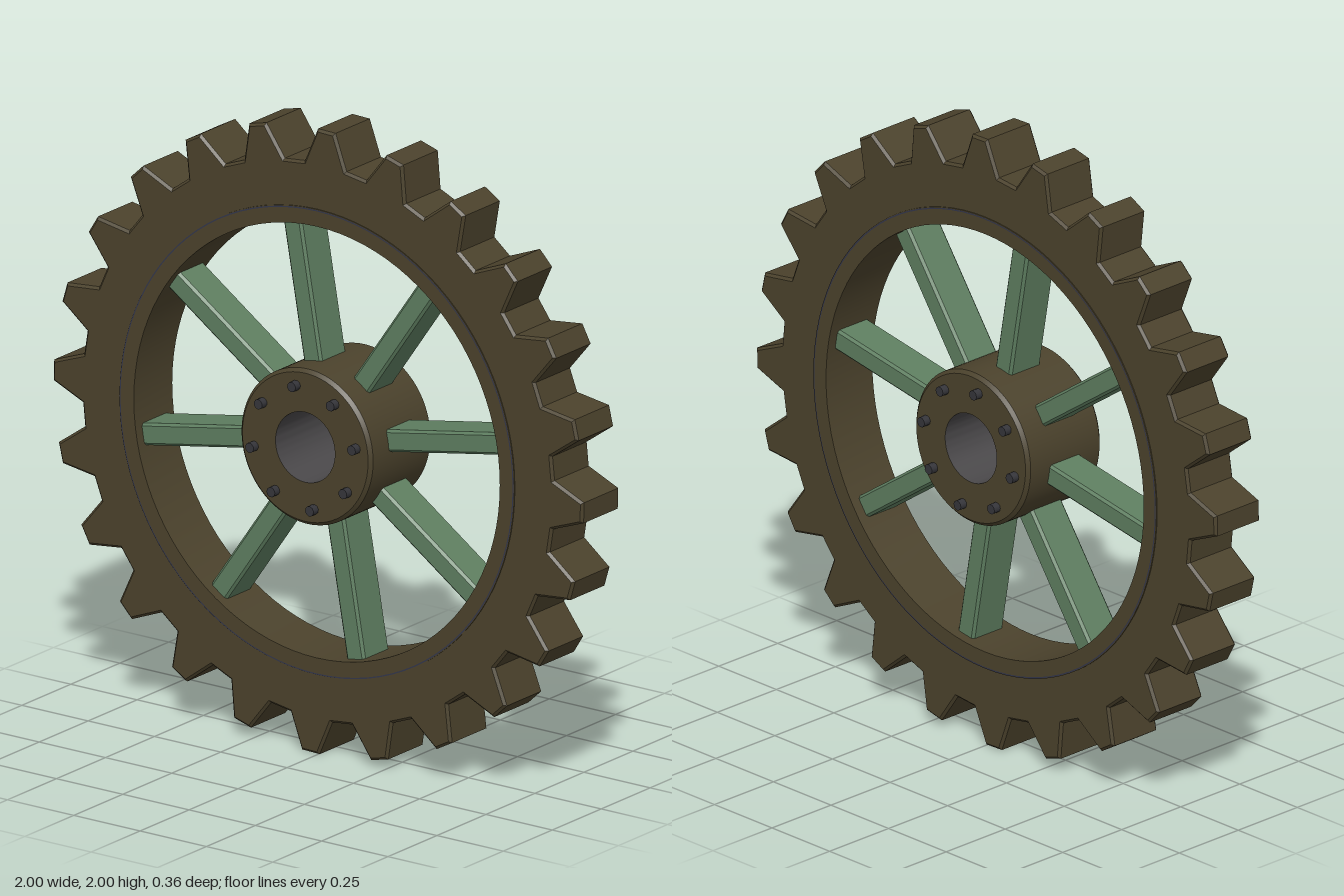
import * as THREE from 'three';
import { toCreasedNormals } from 'three/addons/utils/BufferGeometryUtils.js';

const mat = (name, color) => new THREE.MeshStandardMaterial({ name, color });

export function createModel() {
  const bronze = mat('dark bronze', 0x4b422c);
  const green = mat('spoke green', 0x5e7e60);
  const steel = mat('bolt steel', 0x35353a);
  const bore = mat('bore grey', 0x4a484a);
  const navy = mat('seam navy', 0x33364a);

  const wheel = new THREE.Group();
  wheel.name = 'gearWheel';
  wheel.position.y = 1;

  const add = (name, geometry, material, parent = wheel) => {
    const mesh = new THREE.Mesh(geometry, material);
    mesh.name = name;
    parent.add(mesh);
    return mesh;
  };

  // Bevelled extrusion centred on z = 0, keeping the drawn outline
  const slab = (shape, depth, bevel, curveSegments = 12) => {
    const g = new THREE.ExtrudeGeometry(shape, {
      depth: depth - 2 * bevel, bevelThickness: bevel, bevelSize: bevel,
      bevelOffset: -bevel, bevelSegments: 1, curveSegments,
    });
    g.translate(0, 0, -depth / 2 + bevel);
    return toCreasedNormals(g, 0.3);
  };

  // Surface of revolution about z, from [radius, z] pairs
  const turned = (pairs) => {
    const g = new THREE.LatheGeometry(pairs.map(([r, z]) => new THREE.Vector2(r, z)), 96);
    g.rotateX(Math.PI / 2);
    return toCreasedNormals(g, 0.4);
  };

  // Toothed outer ring
  const teeth = 24, root = 0.89, tip = 1.0;
  const outline = [];
  for (let i = 0; i < teeth; i++) {
    const a = (i / teeth) * Math.PI * 2 - 0.03;
    for (const [r, half] of [[root, 0.088], [tip, 0.033], [tip, -0.033], [root, -0.088]]) {
      outline.push(new THREE.Vector2(r * Math.cos(a - half), r * Math.sin(a - half)));
    }
  }
  const gear = new THREE.Shape(outline);
  gear.holes.push(new THREE.Path().absarc(0, 0, 0.735, 0, Math.PI * 2, true));
  add('toothedRing', slab(gear, 0.19, 0.008, 64), bronze);

  // Inner rim hoop
  add('rim', turned([
    [0.745, -0.098], [0.745, 0.098], [0.69, 0.098], [0.69, -0.098], [0.745, -0.098],
  ]), bronze);

  // Hub barrel and bore lining
  add('hub', turned([
    [0.112, -0.157], [0.237, -0.157], [0.248, -0.146],
    [0.248, 0.146], [0.237, 0.157], [0.112, 0.157],
  ]), bronze);
  add('bore', turned([[0.112, 0.157], [0.112, -0.157]]), bore);

  // Fine seam line on both faces of the rim
  for (const side of [1, -1]) {
    const seam = add('rimSeam', new THREE.RingGeometry(0.739, 0.743, 96), navy);
    seam.position.z = side * 0.0995;
    if (side < 0) seam.rotation.y = Math.PI;
  }

  // Spokes with chamfered edges, each with a bolt on both hub faces
  const w = 0.035;
  const bar = new THREE.Shape([
    new THREE.Vector2(0.23, -w), new THREE.Vector2(0.7, -w),
    new THREE.Vector2(0.7, w), new THREE.Vector2(0.23, w),
  ]);
  const spokeGeometry = slab(bar, 0.13, 0.008);
  const boltGeometry = new THREE.CylinderGeometry(0.016, 0.016, 0.05, 10);
  boltGeometry.rotateX(Math.PI / 2);
  for (let i = 0; i < 8; i++) {
    const arm = new THREE.Group();
    arm.name = 'spokeArm';
    arm.rotation.z = (i * Math.PI) / 4 + THREE.MathUtils.degToRad(10);
    wheel.add(arm);
    add('spoke', spokeGeometry, green, arm);
    for (const side of [1, -1]) {
      add('hubBolt', boltGeometry, steel, arm).position.set(0.195, 0, side * 0.157);
    }
  }

  const model = new THREE.Group();
  model.name = 'model';
  model.add(wheel);
  return model;
}
